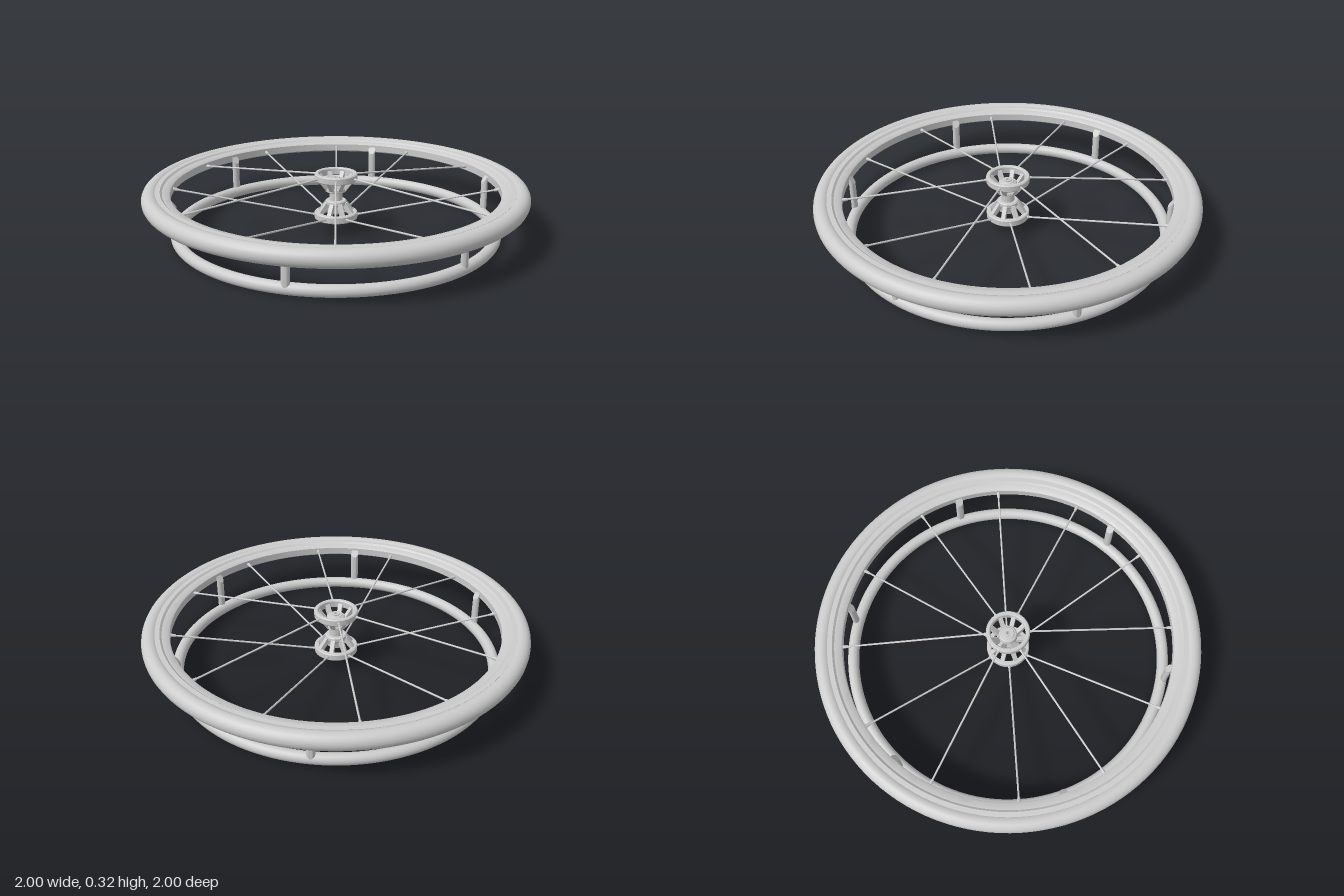
import * as THREE from 'three';
import { toCreasedNormals } from 'three/addons/utils/BufferGeometryUtils.js';

const material = new THREE.MeshStandardMaterial({ color: 0xcccccc });
const UP = new THREE.Vector3(0, 1, 0);
const RIM_Y = 0.235, HUB_Y = 0.2;

function add(parent, name, geometry) {
  const mesh = new THREE.Mesh(geometry, material);
  mesh.name = name;
  parent.add(mesh);
  return mesh;
}

// Closed ring from a counterclockwise [radius, y] section
function ring(section, segments) {
  const pts = [...section, section[0]].map(([r, y]) => new THREE.Vector2(r, y));
  return toCreasedNormals(new THREE.LatheGeometry(pts, segments), 0.6);
}

function torus(radius, tube, y) {
  return new THREE.TorusGeometry(radius, tube, 20, 120).rotateX(Math.PI / 2).translate(0, y, 0);
}

// Point at a given angle around the axle
const polar = (angle, r, y) => new THREE.Vector3(Math.cos(angle) * r, y, Math.sin(angle) * r);

// Round bar between two points
function bar(a, b, ra, rb = ra, sides = 10) {
  const dir = b.clone().sub(a);
  const g = new THREE.CylinderGeometry(rb, ra, dir.length(), sides);
  g.applyQuaternion(new THREE.Quaternion().setFromUnitVectors(UP, dir.clone().normalize()));
  const mid = a.clone().add(b).multiplyScalar(0.5);
  return g.translate(mid.x, mid.y, mid.z);
}

// Hub end: flange ring, inner collar and sloping arms; s = 1 above, -1 below
function hubEnd(s) {
  const end = new THREE.Group();
  end.name = s > 0 ? 'upperHubEnd' : 'lowerHubEnd';
  const place = (pts) => {
    const out = pts.map(([r, y]) => [r, HUB_Y + s * y]);
    return s > 0 ? out : out.reverse();
  };
  add(end, 'flange', ring(place([
    [0.09, 0.086], [0.108, 0.086], [0.113, 0.091], [0.113, 0.119], [0.108, 0.124], [0.095, 0.124], [0.09, 0.119],
  ]), 48));
  add(end, 'collar', ring(place([
    [0.02, 0.022], [0.05, 0.022], [0.056, 0.027], [0.056, 0.042], [0.05, 0.05],
    [0.046, 0.085], [0.04, 0.09], [0.02, 0.09],
  ]), 40));

  // Wedge-shaped arms, drawn in the radial plane and extruded sideways
  const shape = new THREE.Shape([
    [0.044, 0.03], [0.06, 0.035], [0.1, 0.088], [0.1, 0.108], [0.088, 0.108], [0.044, 0.056],
  ].map(([r, y]) => new THREE.Vector2(r, s * y)));
  const arm = new THREE.ExtrudeGeometry(shape, { depth: 0.022, bevelEnabled: false }).translate(0, 0, -0.011);
  for (let i = 0; i < 8; i++) {
    const mesh = add(end, 'flangeArm', arm);
    mesh.position.y = HUB_Y;
    mesh.rotation.y = (i + 0.5) * Math.PI / 4;
  }
  return end;
}

export function createModel() {
  const model = new THREE.Group();
  model.name = 'spokedWheel';

  // Tyre, rim and hand rim
  add(model, 'tyre', torus(0.955, 0.045, RIM_Y));
  add(model, 'rim', ring([
    [0.855, 0.216], [0.862, 0.21], [0.895, 0.206], [0.905, 0.197], [0.93, 0.197],
    [0.93, 0.273], [0.905, 0.273], [0.895, 0.264], [0.862, 0.26], [0.855, 0.254],
  ], 120));
  add(model, 'handRim', torus(0.835, 0.03, 0.031));

  // Hand rim posts with a slanted upper end lying against the rim
  for (let i = 0; i < 6; i++) {
    const post = new THREE.CylinderGeometry(1, 1, 1, 20, 1);
    const p = post.attributes.position;
    for (let k = 0; k < p.count; k++) {
      const x = p.getX(k), top = p.getY(k) > 0;
      p.setXYZ(k, 0.845 + x * 0.017, top ? 0.228 + x * 0.022 : 0.04, p.getZ(k) * 0.021);
    }
    post.computeVertexNormals();
    const mesh = add(model, 'handRimPost', toCreasedNormals(post, 0.6));
    mesh.rotation.y = THREE.MathUtils.degToRad(15 + i * 60);
  }

  // Hub
  const hub = new THREE.Group();
  hub.name = 'hub';
  model.add(hub);
  add(hub, 'hubBarrel', ring([
    [0.018, 0.105], [0.03, 0.105], [0.034, 0.11], [0.034, 0.29], [0.03, 0.295], [0.018, 0.295],
  ], 40));
  add(hub, 'axleBush', ring([[0.009, 0.1], [0.02, 0.1], [0.02, 0.3], [0.009, 0.3]], 32));
  hub.add(hubEnd(1), hubEnd(-1));

  // Spokes alternate between the two flanges, with a nipple at the rim
  for (let i = 0; i < 12; i++) {
    const angle = i * Math.PI / 6;
    const inner = polar(angle, 0.095, HUB_Y + (i % 2 ? 0.105 : -0.108));
    const outer = polar(angle, 0.862, RIM_Y);
    add(model, 'spoke', bar(inner, outer, 0.005));
    add(model, 'spokeHead', bar(inner, inner.clone().lerp(outer, 0.035), 0.009, 0.007));
    add(model, 'spokeNipple', bar(inner.clone().lerp(outer, 0.955), outer, 0.007, 0.01));
  }
  return model;
}
